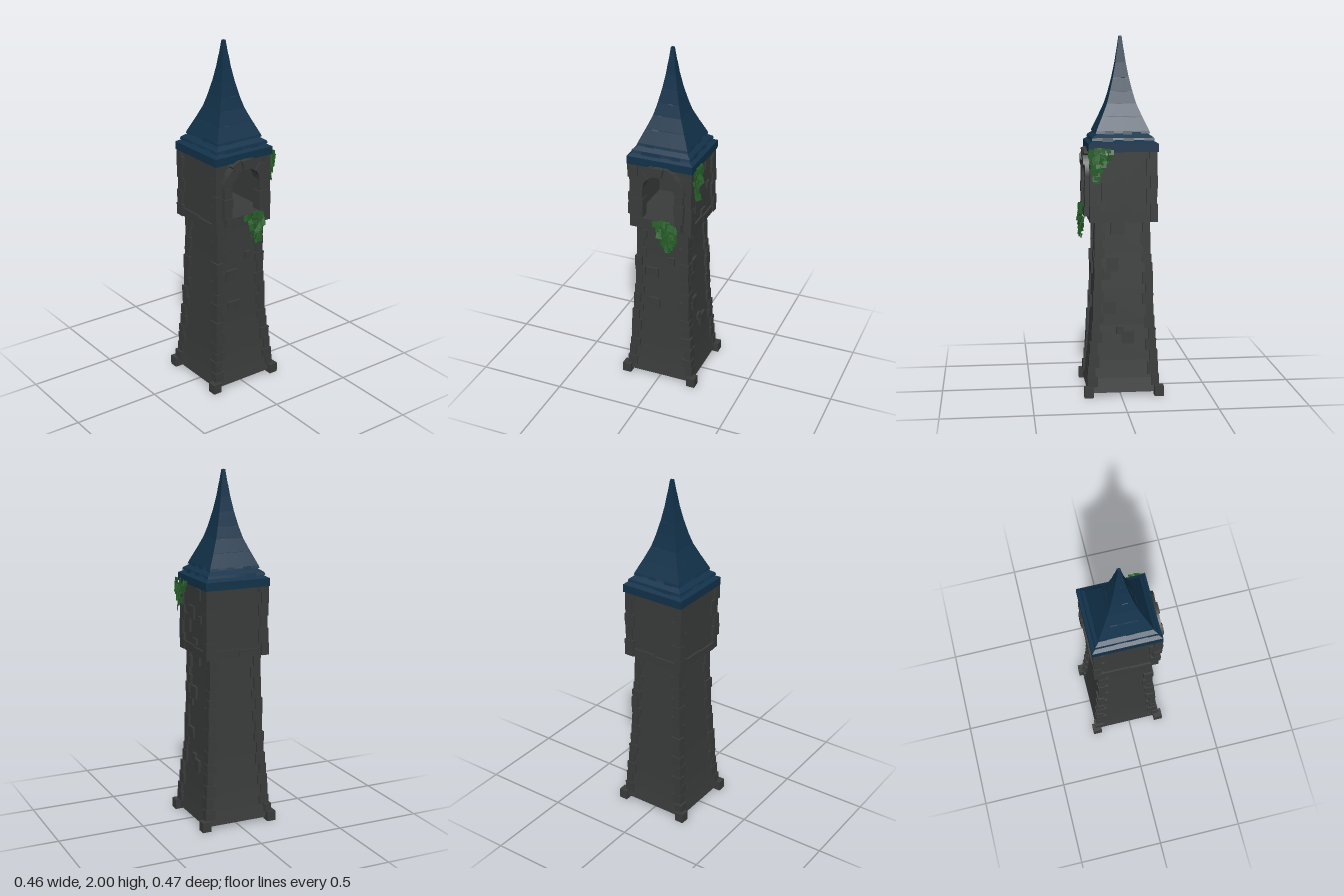
import * as THREE from 'three';

const mat = (color) => new THREE.MeshStandardMaterial({ color, flatShading: true, side: THREE.DoubleSide });
const stone = mat(0x3a3c3c), slate = mat(0x12324a), leafGreen = mat(0x28602a);

// small seeded generator, range a..b
let seed = 7;
function rnd(a, b) {
  seed = (seed * 16807) % 2147483647;
  return a + (b - a) * (seed / 2147483647);
}

function add(parent, name, geometry, material, x = 0, y = 0, z = 0) {
  const m = new THREE.Mesh(geometry, material);
  m.name = name;
  m.position.set(x, y, z);
  parent.add(m);
  return m;
}
const box = (parent, name, w, h, d, x, y, z, material = stone) =>
  add(parent, name, new THREE.BoxGeometry(w, h, d), material, x, y, z);

function group(parent, name) {
  const g = new THREE.Group();
  g.name = name;
  parent.add(g);
  return g;
}

// square loft from [half width, y] pairs
function squareLoft(profile) {
  const pts = profile.map(([h, y]) => new THREE.Vector2(h * Math.SQRT2, y));
  return new THREE.LatheGeometry(pts, 4).rotateY(Math.PI / 4);
}

const shaft = [[0.2, 0.02], [0.188, 0.1], [0.178, 0.2], [0.164, 0.4], [0.155, 0.6], [0.146, 0.8], [0.14, 1]];
function shaftHalf(y) {
  for (let i = 1; i < shaft.length; i++) {
    const [h0, y0] = shaft[i - 1], [h1, y1] = shaft[i];
    if (y <= y1) return THREE.MathUtils.lerp(h0, h1, Math.max(0, (y - y0) / (y1 - y0)));
  }
  return 0.14;
}

// stacked corner stones, long and short sides alternating
function quoins(parent, name, y0, y1, course, halfAt) {
  const g = group(parent, name);
  for (const sx of [-1, 1]) for (const sz of [-1, 1]) {
    let y = y0, k = sx * sz > 0 ? 0 : 1;
    while (y < y1 - 0.01) {
      let h = course * rnd(0.8, 1.25);
      if (y + h > y1 - 0.025) h = y1 - y;
      const out = halfAt(y + h / 2) + rnd(0.008, 0.017);
      const w = k % 2 ? 0.058 : 0.042, d = k % 2 ? 0.042 : 0.058;
      box(g, 'cornerStone', w, h, d, sx * (out - w / 2), y + h / 2, sz * (out - d / 2));
      y += h;
      k++;
    }
  }
}

// one roof course whose lower edge is stepped like uneven tiles
function roofCourse(y0, h0, y1, h1, tiles, drop) {
  const pos = [];
  const quad = (a, b, c, d) => pos.push(...a, ...b, ...c, ...a, ...c, ...d);
  for (let s = 0; s < 4; s++) {
    const ang = (s * Math.PI) / 2, co = Math.cos(ang), si = Math.sin(ang);
    const P = (u, h, y) => [u * h * co + h * si, y, -u * h * si + h * co];
    for (let i = 0; i < tiles; i++) {
      const u0 = -1 + (2 * i) / tiles, u1 = -1 + (2 * (i + 1)) / tiles;
      const yb = y0 - (i === 0 || i === tiles - 1 ? 0 : rnd(-drop, drop));
      const hb = h0, lip = Math.min(0.014, h0 * 0.12);
      quad(P(u0, hb, yb), P(u1, hb, yb), P(u1, h0 - lip * 0.3, y0 + lip), P(u0, h0 - lip * 0.3, y0 + lip));
      quad(P(u0, h0 - lip * 0.3, y0 + lip), P(u1, h0 - lip * 0.3, y0 + lip), P(u1, h1, y1), P(u0, h1, y1));
      quad(P(u0, h1 * 0.9, yb), P(u1, h1 * 0.9, yb), P(u1, hb, yb), P(u0, hb, yb));
    }
  }
  const g = new THREE.BufferGeometry();
  g.setAttribute('position', new THREE.Float32BufferAttribute(pos, 3));
  g.computeVertexNormals();
  return g;
}

// hanging leaves in the xy plane; rows are [y, left, right]
function ivy(parent, name, rows) {
  const g = group(parent, name);
  for (const [y, x0, x1] of rows) {
    const n = Math.max(2, Math.round((x1 - x0) / 0.016));
    for (let i = 0; i < n; i++) {
      const s = rnd(0.022, 0.036);
      const leaf = box(g, 'leaf', s, s * 1.1, 0.003,
        x0 + ((i + 0.5) / n) * (x1 - x0), y + rnd(-0.012, 0.012), rnd(-0.008, 0.012), leafGreen);
      leaf.rotation.set(rnd(-0.35, 0.2), rnd(-0.6, 0.6), rnd(-0.12, 0.12));
    }
  }
  return g;
}

export function createModel() {
  const root = new THREE.Group();
  root.name = 'tower';
  const t = group(root, 'towerBody');
  t.position.set(0.004, 0, -0.015);

  // flared shaft with corner stones and foot blocks
  add(t, 'shaft', squareLoft([[0, 0.02], ...shaft, [0, 1]]), stone);
  quoins(t, 'shaftCornerStones', 0.055, 0.985, 0.058, shaftHalf);
  for (const sx of [-1, 1]) for (const sz of [-1, 1])
    box(t, 'footBlock', 0.052, 0.057, 0.052, sx * 0.203, 0.0285, sz * 0.197);

  // raised stones: [across, y, width, height]
  const frontStones = [[-0.06, 0.69, 0.075, 0.06], [-0.05, 0.505, 0.08, 0.045], [0.055, 0.785, 0.04, 0.045], [-0.065, 0.965, 0.065, 0.03], [-0.02, 0.49, 0.02, 0.05]];
  for (const [x, y, w, h] of frontStones)
    box(t, 'raisedStone', w, h, 0.03, x, y, shaftHalf(y) - 0.002);
  const sideStones = [[0.03, 0.945, 0.075, 0.07], [0.06, 0.74, 0.07, 0.075], [0.078, 0.5, 0.07, 0.065], [-0.025, 0.33, 0.07, 0.07], [0.1, 0.68, 0.06, 0.04], [0.02, 0.37, 0.04, 0.04]];
  for (const [z, y, w, h] of sideStones)
    box(t, 'raisedStone', 0.03, h, w, shaftHalf(y) - 0.002, y, z);
  for (const [z, y, w, h] of [[0.035, 1.215, 0.075, 0.075], [0.085, 1.15, 0.07, 0.1], [-0.06, 1.33, 0.05, 0.06], [-0.01, 1.055, 0.06, 0.035], [-0.08, 1.19, 0.04, 0.04]])
    box(t, 'raisedStone', 0.02, h, w, 0.174, y, z);

  // hollow chamber: front wall pierced by an arch, three plain walls, floor
  const H = 0.174, Y0 = 0.985, Y1 = 1.39, spring = 1.235, r = 0.097, sill = 1.06;
  const wall = new THREE.Shape([[-H, Y0], [H, Y0], [H, Y1], [-H, Y1]].map((p) => new THREE.Vector2(...p)));
  const hole = new THREE.Path();
  hole.moveTo(-r, sill);
  hole.lineTo(-r, spring);
  hole.absarc(0, spring, r, Math.PI, 0, true);
  hole.lineTo(r, sill);
  hole.closePath();
  wall.holes.push(hole);
  add(t, 'chamberFrontWall', new THREE.ExtrudeGeometry(wall, { depth: 0.03, bevelEnabled: false, curveSegments: 12 }), stone, 0, 0, H - 0.03);
  const ym = (Y0 + Y1) / 2, hh = Y1 - Y0;
  box(t, 'chamberBackWall', 2 * H, hh, 0.03, 0, ym, -H + 0.015);
  for (const s of [-1, 1]) box(t, 'chamberSideWall', 0.03, hh, 2 * H, s * (H - 0.015), ym, 0);
  box(t, 'chamberFloor', 2 * H, sill - Y0, 2 * H - 0.01, 0, (sill + Y0) / 2, 0);
  quoins(t, 'chamberCornerStones', 0.982, 1.375, 0.078, () => H);

  // ledge around the chamber foot
  for (let s = 0; s < 4; s++) {
    const ledge = group(t, 'ledge');
    ledge.rotation.y = (s * Math.PI) / 2;
    box(ledge, 'ledgeStone', 0.15, 0.05, 0.02, -0.065, 1.007, H);
    box(ledge, 'ledgeStone', 0.13, 0.042, 0.026, 0.076, 1.003, H - 0.002);
  }

  // stone surround of the arch
  const arch = group(t, 'archSurround');
  const N = 7;
  for (let i = 0; i < N; i++) {
    const a0 = (i * Math.PI) / N + 0.012, a1 = ((i + 1) * Math.PI) / N - 0.012;
    const v = new THREE.Shape();
    v.absarc(0, spring, r + 0.05 + (i % 2 ? 0 : 0.006), a0, a1, false);
    v.absarc(0, spring, r - 0.004, a1, a0, true);
    add(arch, 'archStone', new THREE.ExtrudeGeometry(v, { depth: 0.055 + (i % 2) * 0.008, bevelEnabled: false, curveSegments: 3 }), stone, 0, 0, 0.155);
  }
  for (const s of [-1, 1]) for (let i = 0; i < 3; i++)
    box(arch, 'jambStone', 0.05 + (i % 2) * 0.008, 0.057, 0.055 + (i % 2) * 0.006, s * (r + 0.022), 1.0895 + i * 0.0585, 0.183);
  box(arch, 'sill', 0.27, 0.05, 0.062, 0, 1.037, 0.184);

  // steep, concave roof of overlapping tile courses on a solid core
  const roof = group(t, 'roof');
  add(roof, 'eave', squareLoft([[0, 1.37], [0.192, 1.37], [0.192, 1.415], [0.162, 1.432], [0, 1.432]]), slate);
  const courses = [[1.432, 0.174, 0.122], [1.468, 0.15, 0.112], [1.545, 0.115, 0.08], [1.62, 0.084, 0.06], [1.69, 0.064, 0.043],
    [1.765, 0.046, 0.029], [1.84, 0.031, 0.019], [1.91, 0.02, 0.008]];
  courses.forEach(([y, h, top], i) => {
    const next = i < courses.length - 1 ? courses[i + 1][0] + 0.012 : 2;
    add(roof, 'tileCourse', roofCourse(y, h, next, top, i < 4 ? 6 : 4, i < 6 ? 0.009 : 0.004), slate);
  });
  add(roof, 'roofCore', squareLoft([[0.15, 1.42], [0.108, 1.5], [0.078, 1.58], [0.042, 1.72], [0.018, 1.86], [0.007, 1.97], [0.006, 2], [0, 2]]), slate);

  // ivy under the window and beneath the eave
  const frontIvy = ivy(t, 'frontIvy', [[1.045, -0.02, 0.11], [1.02, 0, 0.115], [0.995, 0.01, 0.115], [0.97, 0.015, 0.11],
    [0.945, 0.03, 0.1], [0.92, 0.045, 0.085], [0.9, 0.055, 0.08]]);
  frontIvy.position.z = 0.228;
  const sideIvy = ivy(t, 'sideIvy', [[1.375, -0.19, -0.06], [1.35, -0.19, -0.075], [1.325, -0.185, -0.09], [1.3, -0.18, -0.105],
    [1.275, -0.175, -0.12], [1.25, -0.17, -0.135], [1.225, -0.165, -0.145]]);
  sideIvy.rotation.y = Math.PI / 2;
  sideIvy.position.x = 0.203;
  return root;
}
